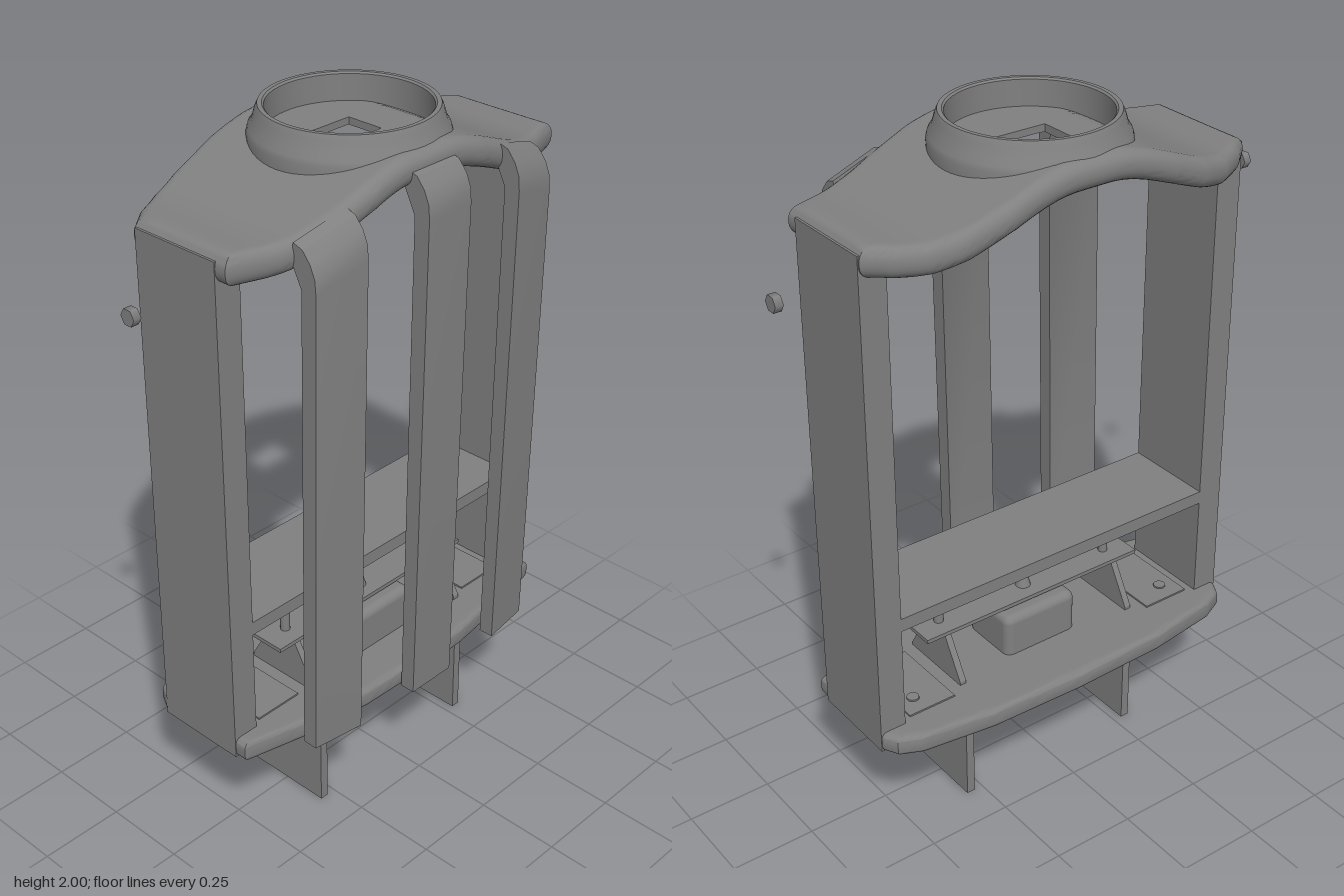
import * as THREE from 'three';
import { toCreasedNormals } from 'three/addons/utils/BufferGeometryUtils.js';
import { RoundedBoxGeometry } from 'three/addons/geometries/RoundedBoxGeometry.js';

const grey = new THREE.MeshStandardMaterial({ color: 0x808080, side: THREE.DoubleSide });

function add(parent, name, geometry, x = 0, y = 0, z = 0) {
  const mesh = new THREE.Mesh(geometry, grey);
  mesh.name = name;
  mesh.position.set(x, y, z);
  parent.add(mesh);
  return mesh;
}

// Box given by its limits on each axis
function block(parent, name, x0, x1, y0, y1, z0, z1) {
  return add(parent, name, new THREE.BoxGeometry(Math.abs(x1 - x0), y1 - y0, z1 - z0),
    (x0 + x1) / 2, (y0 + y1) / 2, (z0 + z1) / 2);
}

// Height of the arched top surface across the width
const archTop = (x) => 1.83 + 0.12 * (1 - THREE.MathUtils.smoothstep(Math.abs(x), 0.05, 0.5));

// Cap surface: the arch, sunk to a flat floor inside the collar
const capTop = (x, z) => (Math.hypot(x, z + 0.03) < 0.24 ? Math.min(archTop(x), 1.922) : archTop(x));

// Mirror a half outline (front to back, x >= 0) and subdivide it
function fullOutline(half) {
  const back = half.slice(1, -1).reverse().map(([x, z]) => [-x, z]);
  const corners = [...half, ...back];
  const out = [];
  corners.forEach(([x, z], i) => {
    const [nx, nz] = corners[(i + 1) % corners.length];
    for (let k = 0; k < 8; k++) out.push([x + (nx - x) * k / 8, z + (nz - z) * k / 8]);
  });
  return out;
}

// Plate with rounded rim and rectangular hole; thinned by hole.thin towards the hole
function roundedPlate(half, thick, radius, hole, top, bottom) {
  const outline = fullOutline(half);
  const rings = 24, profile = [];
  for (let i = 0; i <= rings; i++) profile.push([i / rings, radius, 0, top]);
  for (let i = 1; i <= 6; i++) {
    const a = i / 6 * Math.PI / 2;
    profile.push([1, radius * (1 - Math.sin(a)), -radius * (1 - Math.cos(a)), top]);
  }
  for (let i = 0; i <= 6; i++) {
    const a = i / 6 * Math.PI / 2;
    profile.push([1, radius * (1 - Math.cos(a)), -thick + radius * (1 - Math.sin(a)), bottom]);
  }
  for (let i = rings - 1; i >= 0; i--) {
    profile.push([i / rings, radius, -thick + hole.thin * (1 - i / rings), bottom]);
  }

  const pos = [], index = [], n = outline.length, m = profile.length;
  for (const [t, inset, dy, height] of profile) {
    for (const [ox, oz] of outline) {
      const dx = ox - hole.x, dz = oz - hole.z, len = Math.hypot(dx, dz);
      const inner = Math.min(hole.hx / Math.max(Math.abs(dx), 1e-6), hole.hz / Math.max(Math.abs(dz), 1e-6));
      const s = inner + (1 - inset / len - inner) * t;
      const x = hole.x + dx * s, z = hole.z + dz * s;
      pos.push(x, height(x, z) + dy, z);
    }
  }
  for (let i = 0; i < m; i++) {
    for (let j = 0; j < n; j++) {
      const a = i * n + j, b = ((i + 1) % m) * n + j;
      const c = i * n + (j + 1) % n, d = ((i + 1) % m) * n + (j + 1) % n;
      index.push(a, b, c, b, d, c);
    }
  }
  const g = new THREE.BufferGeometry();
  g.setAttribute('position', new THREE.Float32BufferAttribute(pos, 3));
  g.setIndex(index);
  return toCreasedNormals(g, 0.6);
}

// Extrude a profile drawn in (z, y) along x, centred on x = 0
function sideExtrude(points, width) {
  const shape = new THREE.Shape(points.map(([z, y]) => new THREE.Vector2(z, y)));
  const g = new THREE.ExtrudeGeometry(shape, { depth: width, bevelEnabled: false });
  return g.rotateY(-Math.PI / 2).translate(width / 2, 0, 0);
}

// Upright front strap hooked over the cap; side straps follow the arch
function strap(centre) {
  const g = sideExtrude([[0.24, 0.34], [0.285, 0.34], [0.308, 1.8], [0.305, 1.84], [0.29, 1.875],
    [0.265, 1.905], [0.235, 1.915], [0.225, 1.87], [0.26, 1.8]], 0.156);
  const p = g.attributes.position;
  for (let i = 0; i < p.count; i++) {
    const side = Math.abs(centre) > 0.1;
    const x = p.getX(i) + centre;
    p.setX(i, x);
    if (!side) continue;
    p.setZ(i, p.getZ(i) - 0.008 - 0.14 * (Math.abs(x) - 0.285));
    if (p.getY(i) > 1.7) p.setY(i, p.getY(i) + (archTop(x) - archTop(0)) * 0.9 + 0.02);
  }
  return toCreasedNormals(g, 0.5);
}

export function createModel() {
  const model = new THREE.Group();
  model.name = 'frame';

  // Arched cap with a small rectangular opening, and the collar around it
  add(model, 'topCap', roundedPlate(
    [[0, 0.25], [0.2, 0.25], [0.33, 0.235], [0.45, 0.205], [0.602, 0.15], [0.602, -0.17], [0.55, -0.215],
      [0.47, -0.26], [0.38, -0.29], [0.25, -0.307], [0, -0.307]],
    0.083, 0.038, { x: -0.008, z: -0.04, hx: 0.075, hz: 0.057, thin: 0.035 }, capTop, archTop));
  const collar = [[0.215, 1.89], [0.262, 1.89], [0.262, 1.925], [0.258, 1.94], [0.247, 1.957], [0.239, 1.985],
    [0.232, 2], [0.22, 2], [0.215, 1.995], [0.215, 1.89]].map(([r, y]) => new THREE.Vector2(r, y));
  add(model, 'collar', toCreasedNormals(new THREE.LatheGeometry(collar, 64), 0.6), 0, 0, -0.03);

  // Base plate
  const baseTop = () => 0.39;
  add(model, 'basePlate', roundedPlate(
    [[0, 0.235], [0.2, 0.228], [0.4, 0.2], [0.602, 0.15], [0.602, -0.17], [0.58, -0.21], [0.52, -0.238],
      [0.3, -0.27], [0, -0.28]],
    0.06, 0.018, { x: 0, z: 0, hx: 0.001, hz: 0.001, thin: 0 }, baseTop, baseTop));

  // Shelf and the lower cross strip with its knob
  block(model, 'shelf', -0.53, 0.53, 0.7, 0.74, -0.165, 0.115);
  block(model, 'crossStrip', -0.375, 0.375, 0.528, 0.54, -0.06, 0.06);
  add(model, 'stripKnob', new THREE.CylinderGeometry(0.015, 0.023, 0.03, 16), 0, 0.554, 0);
  add(model, 'centreBox', new RoundedBoxGeometry(0.248, 0.15, 0.19, 4, 0.025), 0.002, 0.443, 0);

  add(model, 'centreStrap', strap(0.004));
  for (const s of [-1, 1]) {
    add(model, 'sideStrap', strap(s * 0.359));
    block(model, 'sidePanel', s * 0.525, s * 0.604, 0.33, 1.81, -0.165, 0.115);

    // Foot blade with its narrower neck
    block(model, 'footBlade', s * 0.277, s * 0.303, 0, 0.275, -0.135, 0.14);
    block(model, 'footNeck', s * 0.286, s * 0.3, 0.27, 0.34, -0.11, 0.113);

    // Gusset and pin holding the cross strip
    add(model, 'gusset', sideExtrude([[-0.12, 0.385], [0.12, 0.385], [0.12, 0.4], [0.045, 0.53],
      [-0.045, 0.53], [-0.12, 0.4]], 0.02), s * 0.3);
    add(model, 'pin', new THREE.CylinderGeometry(0.014, 0.014, 0.13, 16), s * 0.297, 0.6, 0);

    // Floor pad with washer
    block(model, 'floorPad', s * 0.35, s * 0.5, 0.385, 0.395, -0.15, 0.1);
    add(model, 'washer', new THREE.CylinderGeometry(0.018, 0.018, 0.006, 16), s * 0.45, 0.397, -0.09);

    // Loose hexagonal side nut
    add(model, 'sideNut', new THREE.CylinderGeometry(0.024, 0.024, 0.023, 6).rotateZ(Math.PI / 2),
      s * 0.749, 1.677, -0.02);
  }
  return model;
}
